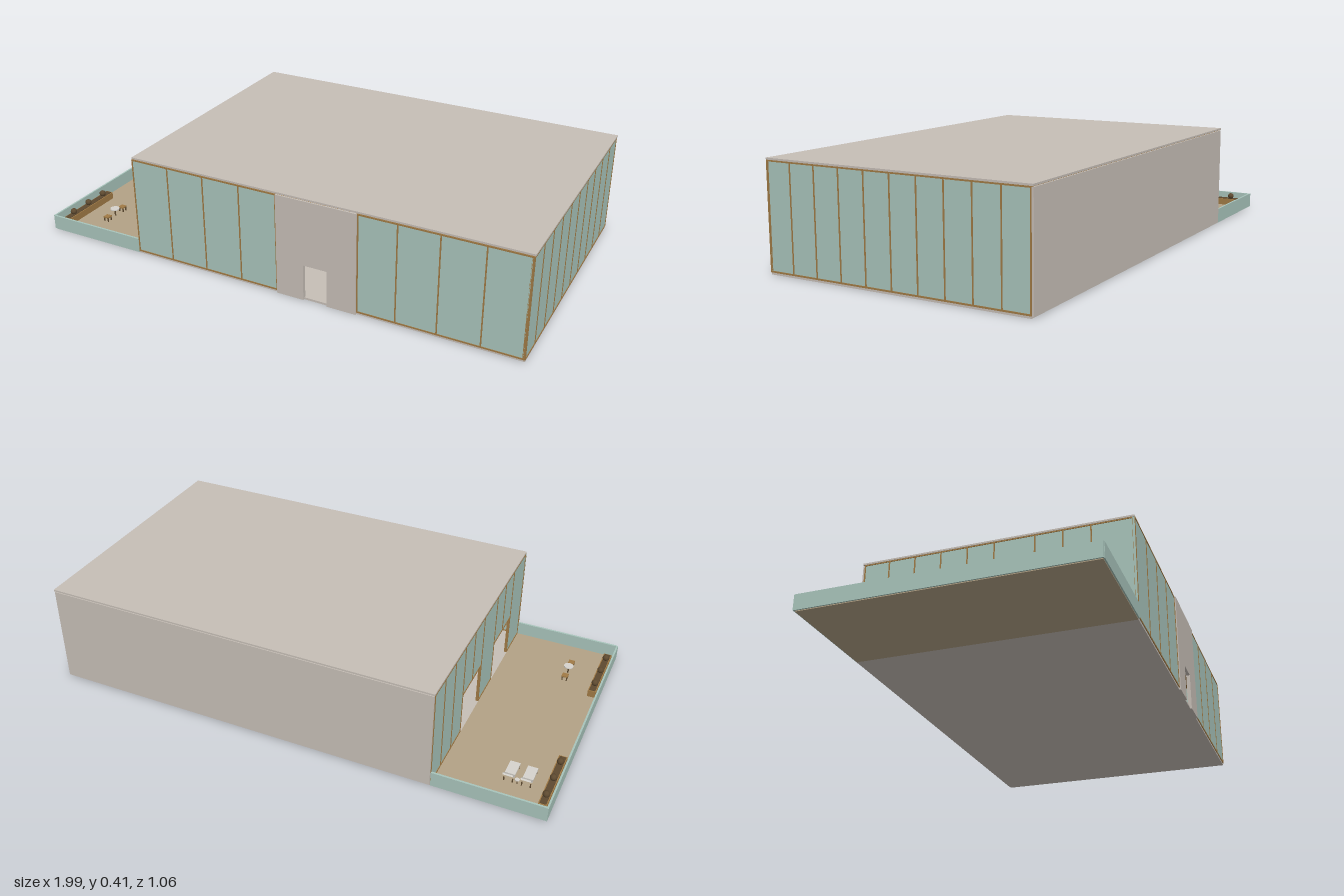
import * as THREE from 'three';

const mat = (name, color) => {
  const m = new THREE.MeshStandardMaterial({ color });
  m.name = name;
  return m;
};

export function createModel() {
  const plaster = mat('warm grey plaster', 0xc6beb6);
  const glass = mat('pale green glass', 0xa8c4bb);
  const wood = mat('brown wood', 0xa07a45);
  const deck = mat('tan decking', 0xb3a286);
  const dark = mat('dark planting', 0x5e4a30);
  const cushion = mat('light cushion', 0xd6d3cd);

  const model = new THREE.Group();
  model.name = 'pavilion';

  // Box given by its minimum and maximum corners
  const box = (parent, name, m, x0, x1, y0, y1, z0, z1) => {
    const mesh = new THREE.Mesh(new THREE.BoxGeometry(x1 - x0, y1 - y0, z1 - z0), m);
    mesh.position.set((x0 + x1) / 2, (y0 + y1) / 2, (z0 + z1) / 2);
    mesh.name = name;
    parent.add(mesh);
    return mesh;
  };
  const cyl = (parent, name, m, r, h, x, y, z) => {
    const mesh = new THREE.Mesh(new THREE.CylinderGeometry(r, r, h, 20), m);
    mesh.position.set(x, y + h / 2, z);
    mesh.name = name;
    parent.add(mesh);
  };

  // Glazed wall in its own frame: runs along x, faces +z.
  // marks are the mullion positions, doors lists bays left open below doorTop.
  const BOTTOM = 0.008, TOP = 0.402, doorTop = 0.18;
  const glazedWall = (name, marks, doors = []) => {
    const wall = new THREE.Group();
    wall.name = name;
    const last = marks.length - 1;
    for (let i = 0; i < last; i++) {
      const open = doors.includes(i);
      const y0 = open ? doorTop : BOTTOM;
      box(wall, 'glassPane', glass, marks[i], marks[i + 1], y0, TOP, -0.008, 0);
      box(wall, open ? 'doorHead' : 'bottomRail', wood, marks[i], marks[i + 1], y0, y0 + 0.006, -0.009, 0.002);
    }
    marks.forEach((x, i) => {
      const between = doors.includes(i) && doors.includes(i - 1);
      const c = THREE.MathUtils.clamp(x, marks[0] + 0.0025, marks[last] - 0.0025);
      box(wall, 'mullion', wood, c - 0.0025, c + 0.0025, between ? doorTop : BOTTOM, TOP, -0.009, 0.002);
    });
    box(wall, 'topRail', wood, marks[0], marks[last], TOP - 0.005, TOP, -0.009, 0.002);
    model.add(wall);
    return wall;
  };

  // Floor slab, roof and rear wall
  box(model, 'floorSlab', plaster, -0.575, 0.99, 0, 0.008, -0.522, 0.522);
  box(model, 'roof', plaster, -0.575, 0.993, 0.403, 0.41, -0.53, 0.522);
  box(model, 'roofTrim', wood, -0.573, 0.991, 0.4, 0.403, -0.524, 0.523);
  box(model, 'backWall', plaster, -0.573, 0.99, 0.006, 0.4, -0.53, -0.52);
  box(model, 'innerBackLining', wood, -0.56, 0.98, 0.008, 0.4, -0.52, -0.515);

  // Front glazing on both sides of the entrance
  glazedWall('frontGlazingRight', [-0.575, -0.415, -0.26, -0.105, 0.05]).position.z = 0.523;
  glazedWall('frontGlazingLeft', [0.37, 0.52, 0.675, 0.835, 0.99]).position.z = 0.523;

  // Solid entrance bay with a doorway cut through it
  const bay = new THREE.Shape();
  [[0.05, 0], [0.16, 0], [0.16, 0.145], [0.255, 0.145], [0.255, 0], [0.37, 0], [0.37, 0.403], [0.05, 0.403]]
    .forEach(([x, y], i) => (i ? bay.lineTo(x, y) : bay.moveTo(x, y)));
  bay.closePath();
  const entrance = new THREE.Mesh(new THREE.ExtrudeGeometry(bay, { depth: 0.015, bevelEnabled: false }), plaster);
  entrance.position.z = 0.514;
  entrance.name = 'entranceWall';
  model.add(entrance);

  // Side glazing; the terrace side has two wide doorways
  const side = Array.from({ length: 11 }, (_, i) => -0.523 + i * 0.1046);
  const east = glazedWall('sideGlazing', side);
  east.rotation.y = Math.PI / 2;
  east.position.x = 0.99;
  const terraceMarks = [-0.523, -0.42, -0.315, -0.21, -0.105, 0, 0.155, 0.26, 0.365, 0.523];
  const west = glazedWall('terraceGlazing', terraceMarks, [3, 4, 6, 7]);
  west.rotation.y = -Math.PI / 2;
  west.position.x = -0.573;

  // Terrace deck with a low glass parapet
  const terrace = new THREE.Group();
  terrace.name = 'terrace';
  model.add(terrace);
  box(terrace, 'deck', deck, -0.995, -0.575, 0, 0.008, -0.522, 0.522);
  box(terrace, 'outerParapet', glass, -1, -0.993, 0.003, 0.062, -0.528, 0.525);
  for (const s of [-1, 1]) {
    const z = s * 0.523;
    box(terrace, 'sideParapet', glass, -0.993, -0.575, 0.003, 0.062, z - 0.004, z + 0.004);
  }

  // Planters with three shrubs each
  for (const z of [-0.352, 0.348]) {
    const planter = new THREE.Group();
    planter.name = 'planter';
    planter.position.set(-0.97, 0, z);
    terrace.add(planter);
    box(planter, 'trough', wood, -0.016, 0.016, 0.008, 0.036, -0.138, 0.138);
    box(planter, 'soil', dark, -0.012, 0.012, 0.034, 0.038, -0.133, 0.133);
    for (const dz of [-0.093, 0, 0.093]) {
      const shrub = new THREE.Mesh(new THREE.SphereGeometry(0.013, 12, 8), dark);
      shrub.position.set(0, 0.048, dz);
      shrub.name = 'shrub';
      planter.add(shrub);
    }
  }

  // Pair of loungers with a small table between them
  for (const x of [-0.886, -0.82]) {
    const lounger = new THREE.Group();
    lounger.name = 'lounger';
    lounger.position.set(x, 0, 0);
    terrace.add(lounger);
    box(lounger, 'seat', cushion, -0.019, 0.019, 0.022, 0.029, -0.385, -0.308);
    const back = box(lounger, 'backrest', cushion, -0.019, 0.019, 0.028, 0.034, -0.412, -0.378);
    back.position.y += 0.008;
    back.rotation.x = 0.6;
    for (const dx of [-0.016, 0.016]) {
      for (const z of [-0.395, -0.314]) box(lounger, 'leg', dark, dx - 0.002, dx + 0.002, 0.008, 0.023, z - 0.002, z + 0.002);
    }
  }
  cyl(terrace, 'sideTableTop', cushion, 0.009, 0.003, -0.853, 0.026, -0.395);
  cyl(terrace, 'sideTableLeg', dark, 0.002, 0.018, -0.853, 0.008, -0.395);

  // Round table with two stools
  cyl(terrace, 'tableTop', cushion, 0.019, 0.004, -0.845, 0.038, 0.332);
  cyl(terrace, 'tableLeg', dark, 0.003, 0.03, -0.845, 0.008, 0.332);
  for (const z of [0.283, 0.381]) {
    box(terrace, 'stoolSeat', wood, -0.857, -0.833, 0.024, 0.029, z - 0.012, z + 0.012);
    for (const dx of [-0.009, 0.009]) {
      for (const dz of [-0.009, 0.009]) {
        box(terrace, 'stoolLeg', dark, -0.847 + dx, -0.843 + dx, 0.008, 0.025, z + dz - 0.002, z + dz + 0.002);
      }
    }
  }
  return model;
}
